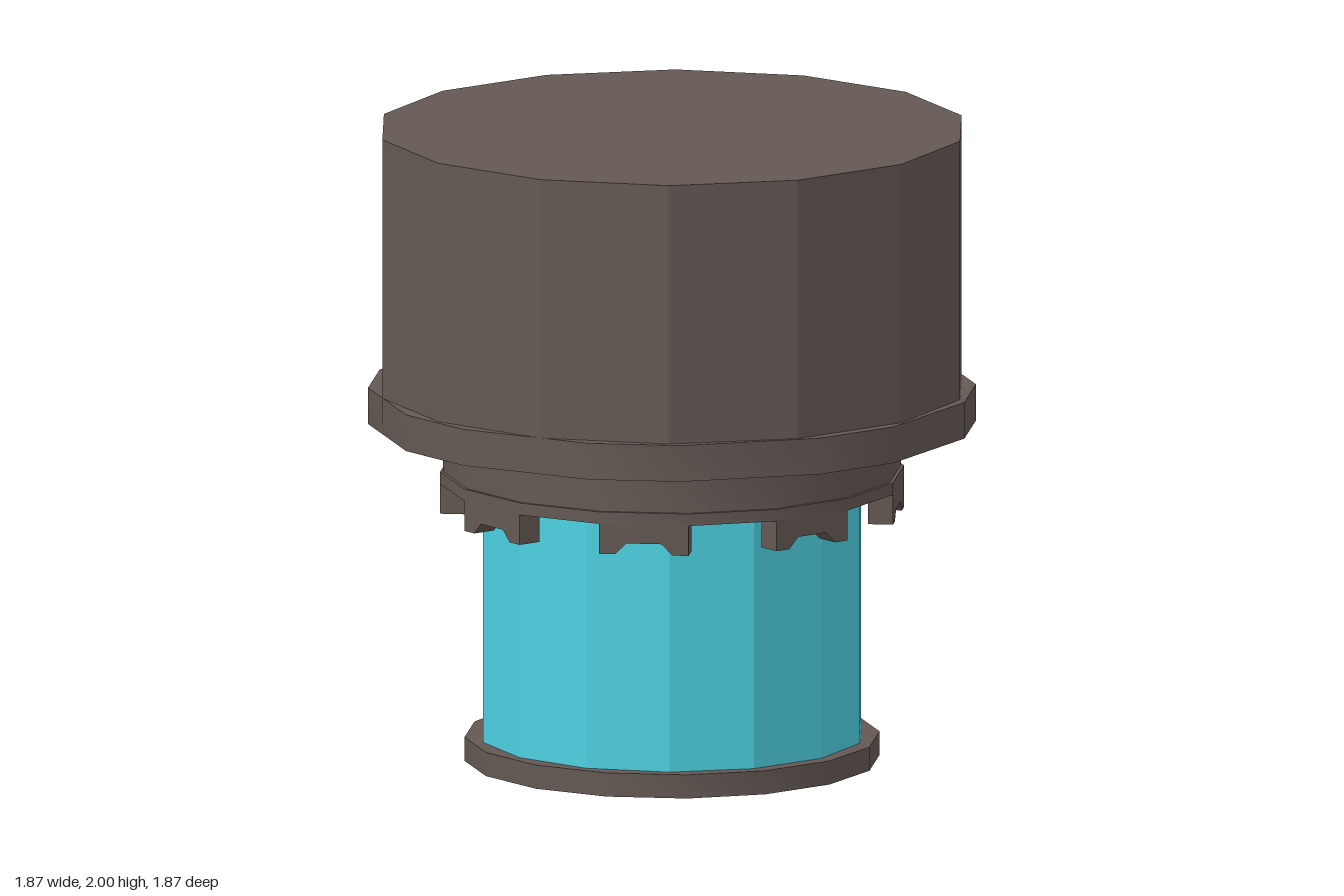
import * as THREE from 'three';
import { toCreasedNormals } from 'three/addons/utils/BufferGeometryUtils.js';

const DEG = Math.PI / 180;

// Sixteen-cornered outline: eight flats at distance r, each spanning +-half degrees
function outline(r, half, Type = THREE.Shape) {
  const radius = r / Math.cos(half * DEG);
  const points = [];
  for (let i = 0; i < 8; i++) {
    for (const side of [-1, 1]) {
      const a = (i * 45 + side * half) * DEG;
      points.push(new THREE.Vector2(radius * Math.cos(a), radius * Math.sin(a)));
    }
  }
  return new Type(points);
}

// Upright prism between two heights, smooth around its rim
function prism(shape, y0, y1) {
  const geo = new THREE.ExtrudeGeometry(shape, { depth: y1 - y0, bevelEnabled: false });
  geo.rotateX(-Math.PI / 2);
  geo.translate(0, y0, 0);
  return toCreasedNormals(geo, 0.6);
}

// Fourteen-sided drum with a corner facing the front
function drum(radius, y0, y1) {
  const geo = new THREE.CylinderGeometry(radius, radius, y1 - y0, 14);
  geo.translate(0, (y0 + y1) / 2, 0);
  return toCreasedNormals(geo, 0.2);
}

export function createModel() {
  const model = new THREE.Group();
  model.name = 'cappedCanister';

  const brown = new THREE.MeshStandardMaterial({ color: 0x635853 });
  brown.name = 'dark brown';
  const cyan = new THREE.MeshStandardMaterial({ color: 0x4dd0e1 });
  cyan.name = 'bright cyan';

  function add(name, geo, material, parent = model) {
    const mesh = new THREE.Mesh(geo, material);
    mesh.name = name;
    parent.add(mesh);
    return mesh;
  }

  // Base plate and glowing core
  add('basePlate', prism(outline(0.635, 11.25), 0, 0.075), brown);
  add('core', drum(0.602, 0.07, 0.885), cyan);

  // Upper drum, with a collar and a groove beneath it
  add('upperDrum', drum(0.922, 1.1, 2), brown);
  const collar = outline(0.935, 8.8);
  collar.holes.push(outline(0.835, 8.8, THREE.Path));
  add('collar', prism(collar, 1.065, 1.18), brown);
  add('hub', prism(outline(0.8, 8.8), 1.065, 1.11), brown);

  // Neck and the ring that carries the teeth
  add('neck', prism(outline(0.7, 11.25), 0.91, 1.07), brown);
  add('toothRing', prism(outline(0.71, 11.25), 0.88, 0.918), brown);

  // Eight notched teeth hanging around the core
  const tooth = new THREE.Shape([
    [-0.14, 0.785], [-0.09, 0.785], [-0.055, 0.82], [0.055, 0.82],
    [0.09, 0.785], [0.14, 0.785], [0.14, 0.885], [-0.14, 0.885],
  ].map(([x, y]) => new THREE.Vector2(x, y)));
  const toothGeo = new THREE.ExtrudeGeometry(tooth, { depth: 0.078, bevelEnabled: false });
  toothGeo.translate(0, 0, 0.632);
  const teeth = new THREE.Group();
  teeth.name = 'teeth';
  model.add(teeth);
  for (let i = 0; i < 8; i++) {
    add('tooth', toothGeo, brown, teeth).rotation.y = i * 45 * DEG;
  }

  return model;
}
